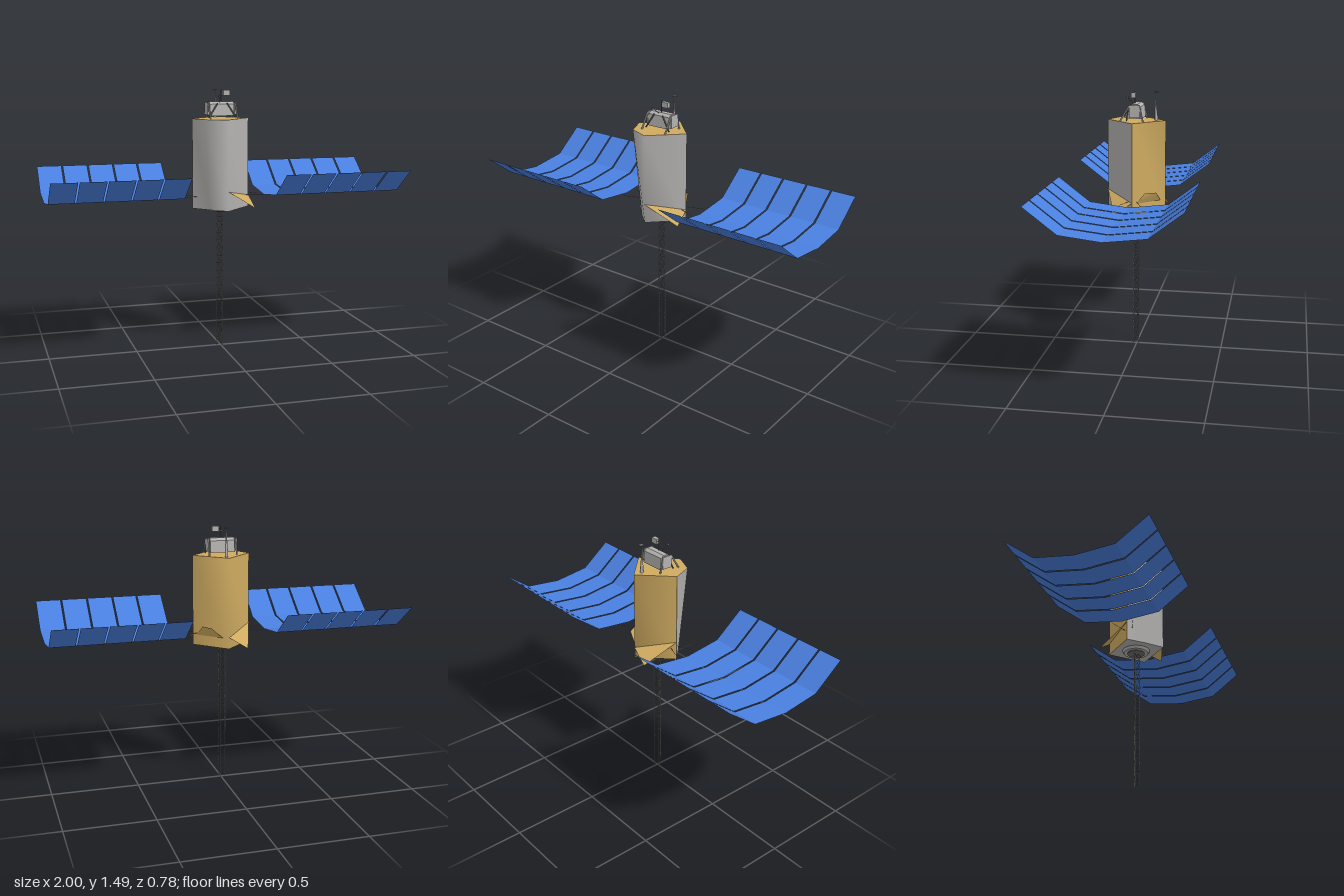
import * as THREE from 'three';

const mat = (name, color, side = THREE.FrontSide) => {
  const m = new THREE.MeshStandardMaterial({ color, side });
  m.name = name;
  return m;
};

export function createModel() {
  const root = new THREE.Group();
  root.name = 'satellite';
  const grey = mat('silver grey', 0xb4b3b1, THREE.DoubleSide);
  const gold = mat('gold foil', 0xcfab61, THREE.DoubleSide);
  const blue = mat('cell blue', 0x4a80e0, THREE.DoubleSide);
  const dark = mat('dark grey', 0x6c6c6c);

  const V = (x, y, z) => new THREE.Vector3(x, y, z);
  const add = (name, geo, material, parent = root) => {
    const m = new THREE.Mesh(geo, material);
    m.name = name;
    parent.add(m);
    return m;
  };
  const group = (name) => {
    const g = new THREE.Group();
    g.name = name;
    root.add(g);
    return g;
  };
  // Round bar between two points
  const bar = (name, a, b, r, material, parent, rTop = r, sides = 5) => {
    const d = b.clone().sub(a);
    const m = add(name, new THREE.CylinderGeometry(rTop, r, d.length(), sides), material, parent);
    m.position.copy(a).add(b).multiplyScalar(0.5);
    m.quaternion.setFromUnitVectors(V(0, 1, 0), d.normalize());
    return m;
  };
  // Open surface strip between two matching rows of points
  const strip = (lower, upper) => {
    const n = lower.length, index = [];
    for (let i = 0; i < n - 1; i++) index.push(i, i + 1, n + i, i + 1, n + i + 1, n + i);
    const g = new THREE.BufferGeometry().setFromPoints([...lower, ...upper]);
    g.setIndex(index);
    g.computeVertexNormals();
    return g;
  };
  // Flat convex sheet through a few points
  const sheet = (pts) => {
    const index = [];
    for (let i = 1; i < pts.length - 1; i++) index.push(0, i, i + 1);
    const g = new THREE.BufferGeometry().setFromPoints(pts);
    g.setIndex(index);
    g.computeVertexNormals();
    return g;
  };

  // Body: four-cornered shell, front half grey and back half gold
  const R = 0.165, y0 = 0.82, y1 = 1.33;
  const lowFront = [V(-R, y0, 0), V(-0.085, y0, 0.085), V(0, y0, R), V(R, y0, 0)];
  const topFront = [V(-R, y1, 0), V(-0.118, y1, 0.115), V(0, y1, R), V(R, y1, 0)];
  const lowBack = [V(R, y0, 0), V(0, y0, -R), V(-R, y0, 0)];
  const topBack = [V(R, y1, 0), V(0, y1, -R), V(-R, y1, 0)];
  add('frontShell', strip(lowFront, topFront), grey);
  add('backShell', strip(lowBack, topBack), gold);
  add('topDeck', sheet([...topFront, topBack[1]]), gold);
  add('bottomDeck', sheet([...lowFront, lowBack[1]].reverse()), grey);

  // Gold foil flaps around the lower body
  add('frontFlap', sheet([V(0, 0.93, 0.168), V(0.18, 0.82, 0.1), V(0.168, 0.885, 0)]), gold);
  add('backFlap', sheet([V(-0.168, 0.93, 0), V(-0.105, 0.82, -0.185), V(0, 0.885, -0.168)]), gold);
  add('sideFlap', sheet([V(0.147, 0.88, -0.02), V(0.028, 0.88, -0.14), V(0.09, 0.935, -0.125), V(0.125, 0.935, -0.065)]), gold);

  // Nozzle ring under the body
  const ring = add('bottomRing', new THREE.CylinderGeometry(0.08, 0.07, 0.016, 20), grey);
  ring.position.y = 0.813;
  const plate = add('bottomPlate', new THREE.CylinderGeometry(0.05, 0.05, 0.006, 20), dark);
  plate.position.y = 0.803;

  // Solar wings: five curved blankets on each side
  const profile = [[0.39, 1.043], [0.217, 0.91], [0, 0.884], [-0.217, 0.91], [-0.39, 1.043]];
  const edges = [0.262, 0.41, 0.555, 0.705, 0.855, 1.0];
  for (const s of [-1, 1]) {
    const wing = group(s > 0 ? 'leftWing' : 'rightWing');
    for (let i = 0; i < 5; i++) {
      const xs = [s * (edges[i] + (i ? 0.004 : 0)), s * (edges[i + 1] - (i < 4 ? 0.004 : 0))].sort((a, b) => a - b);
      for (let k = 0; k < 4; k++) {
        const [z0, h0] = profile[k], [z1, h1] = profile[k + 1];
        add('solarPanel', sheet([V(xs[0], h0, z0), V(xs[1], h0, z0), V(xs[1], h1, z1), V(xs[0], h1, z1)]), blue, wing);
      }
    }
    // Thin whisker aerials
    for (const t of [-1, 1]) bar('whisker', V(s * 0.1, 0.89, t * 0.005), V(s * 0.245, 0.89, t * 0.06), 0.0012, dark);
  }

  // Lattice mast: three longerons with rungs and zigzag braces
  const mast = group('mast');
  const legs = [[-0.026, 0.002], [0.008, 0.018], [0.008, -0.014]];
  const bays = 18, step = 0.81 / bays;
  legs.forEach(([x, z], i) => {
    const [nx, nz] = legs[(i + 1) % 3];
    bar('longeron', V(x, 0, z), V(x, 0.81, z), 0.0022, grey, mast);
    for (let b = 0; b < bays; b++) {
      const lo = b * step, hi = lo + step;
      bar('rung', V(x, hi, z), V(nx, hi, nz), 0.001, dark, mast, 0.001, 4);
      if (b % 2) bar('brace', V(x, lo, z), V(nx, hi, nz), 0.001, dark, mast, 0.001, 4);
      else bar('brace', V(nx, lo, nz), V(x, hi, z), 0.001, dark, mast, 0.001, 4);
    }
  });

  // Instrument on the top deck: tapered housing on splayed struts
  const instrument = group('instrument');
  const section = new THREE.Shape([[-0.04, 1.345], [0.04, 1.345], [0.033, 1.41], [0.015, 1.424], [-0.015, 1.424], [-0.033, 1.41]]
    .map(([z, y]) => new THREE.Vector2(z, y)));
  const housing = new THREE.ExtrudeGeometry(section, { depth: 0.14, bevelEnabled: false });
  housing.translate(0, 0, -0.07).rotateY(Math.PI / 2);
  add('housing', housing, grey, instrument);
  for (const x of [-0.08, 0.078]) {
    const end = add('endPlate', new THREE.BoxGeometry(0.008, 0.07, 0.06), grey, instrument);
    end.position.set(x, 1.385, 0);
    bar('frontStrut', V(x, 1.33, 0.082), V(x, 1.415, 0.03), 0.005, grey, instrument);
    bar('backStrut', V(x, 1.33, -0.047), V(x, 1.415, -0.025), 0.005, grey, instrument);
    bar('crossStrut', V(x, 1.335, 0.045), V(x * 0.35, 1.415, 0.038), 0.004, dark, instrument);
  }

  // Small sensors above the instrument
  bar('sensorPost', V(0, 1.42, 0.01), V(0, 1.49, 0.01), 0.002, dark, instrument);
  const head = add('sensorHead', new THREE.BoxGeometry(0.04, 0.03, 0.024), grey, instrument);
  head.position.set(0.03, 1.472, 0.012);
  bar('sensorArm', V(0, 1.472, 0.01), V(0.012, 1.472, 0.01), 0.002, dark, instrument);
  const eye = add('smallSensor', new THREE.CylinderGeometry(0.007, 0.007, 0.01, 10), dark, instrument);
  eye.position.set(-0.022, 1.455, 0.058);
  bar('smallSensorArm', V(-0.01, 1.42, 0.02), V(-0.022, 1.452, 0.056), 0.0015, dark, instrument);

  // Tapered aerial at the back of the deck
  const aerial = group('aerial');
  bar('aerialMast', V(0, 1.33, -0.111), V(0, 1.487, -0.104), 0.01, grey, aerial, 0.0015, 8);
  const cap = add('aerialCap', new THREE.CylinderGeometry(0.015, 0.015, 0.003, 12), dark, aerial);
  cap.position.set(0, 1.488, -0.111);
  return root;
}
